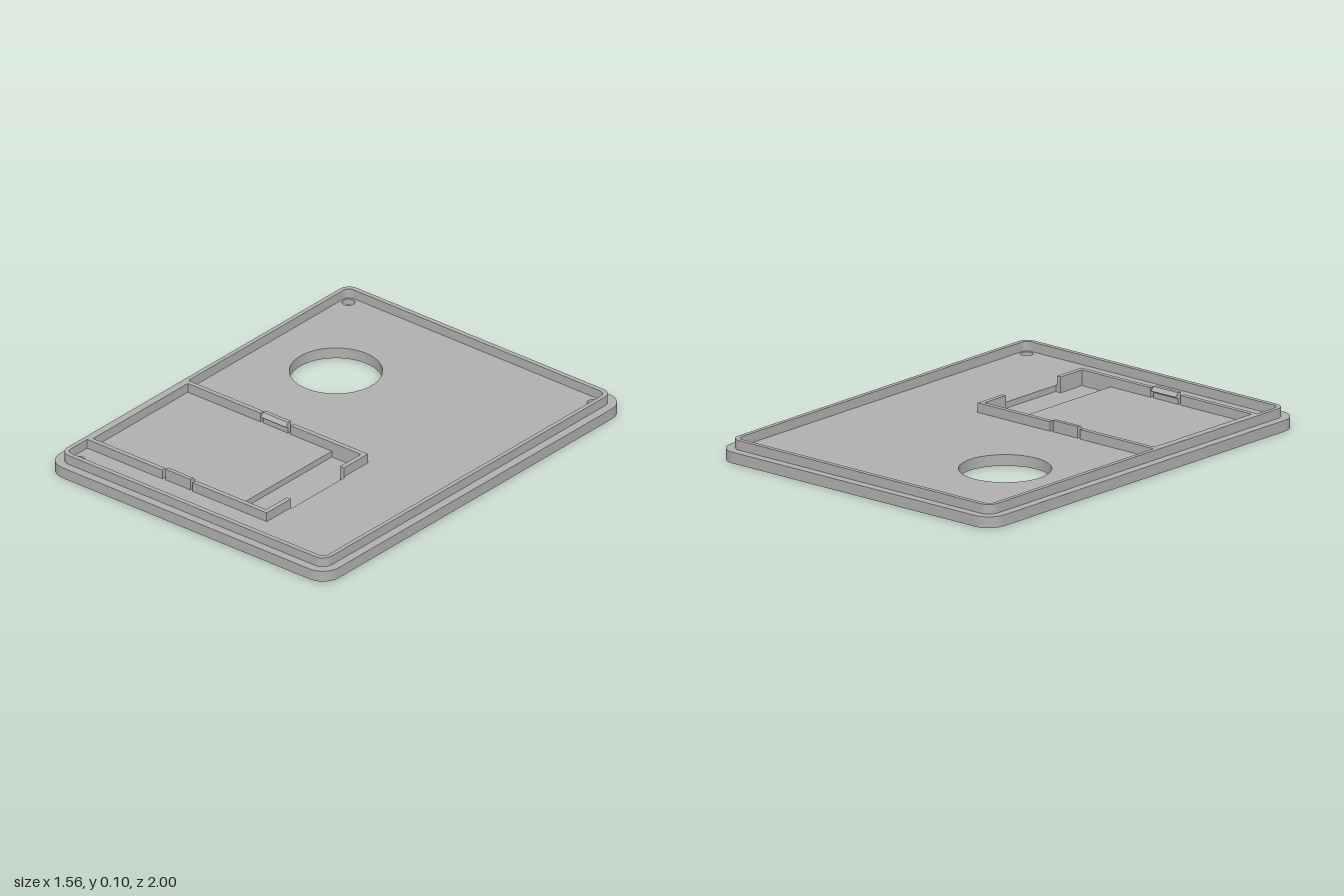
import * as THREE from 'three';
import { toCreasedNormals } from 'three/addons/utils/BufferGeometryUtils.js';

const grey = new THREE.MeshStandardMaterial({ color: 0xb0b0b0 });
grey.name = 'light grey plastic';

// Rounded rectangle centred on the origin, drawn in x and z
function roundedRect(hx, hz, r) {
  const s = new THREE.Shape();
  s.absarc(hx - r, hz - r, r, 0, Math.PI / 2);
  s.absarc(-hx + r, hz - r, r, Math.PI / 2, Math.PI);
  s.absarc(-hx + r, -hz + r, r, Math.PI, Math.PI * 1.5);
  s.absarc(hx - r, -hz + r, r, Math.PI * 1.5, Math.PI * 2);
  s.closePath();
  return s;
}

function circle(x, z, r) {
  return new THREE.Path().absarc(x, z, r, 0, Math.PI * 2);
}

function polygon(points) {
  return new THREE.Shape(points.map(([x, z]) => new THREE.Vector2(x, z)));
}

function mesh(name, geometry) {
  const m = new THREE.Mesh(toCreasedNormals(geometry, 0.5), grey);
  m.name = name;
  return m;
}

// Upright slab between two heights from an outline in x and z
function slab(name, shape, y0, y1) {
  const g = new THREE.ExtrudeGeometry(shape, { depth: y1 - y0, bevelEnabled: false, curveSegments: 32 });
  g.rotateX(Math.PI / 2).translate(0, y1, 0);
  return mesh(name, g);
}

export function createModel() {
  const group = new THREE.Group();
  group.name = 'enclosureLid';

  const FLOOR = 0.05, TOP = 0.093, POCKET = 0.022;
  const MID_Z = 0.4625;                        // centre line of the module bay
  const mirrorZ = ([x, z]) => [x, 2 * MID_Z - z];

  // Base plate in two layers: wide screw recesses below, small holes and pocket above
  const lower = roundedRect(0.78, 1, 0.09);
  const upper = roundedRect(0.78, 1, 0.09);
  for (const plate of [lower, upper]) plate.holes.push(circle(-0.34, -0.405, 0.2));
  for (const x of [-0.685, 0.685]) {
    for (const z of [-0.9, 0.9]) {
      lower.holes.push(circle(x, z, 0.049));
      upper.holes.push(circle(x, z, 0.028));
    }
  }
  const pocketHalf = [[0.1, 0.147], [0.262, 0.147], [0.262, 0.285], [0.29, 0.285]];
  upper.holes.push(polygon([...pocketHalf, ...pocketHalf.map(mirrorZ).reverse()]));
  group.add(slab('basePlateLower', lower, 0, POCKET));
  group.add(slab('basePlateUpper', upper, POCKET, FLOOR));

  // Raised lip around the edge
  const lip = roundedRect(0.74, 0.96, 0.05);
  lip.holes.push(roundedRect(0.72, 0.938, 0.03));
  group.add(slab('lip', lip, FLOOR, TOP));

  // Module bay walls: a bracket against the lip and two corner walls
  const bracketHalf = [[-0.705, 0.147], [-0.3, 0.147], [-0.3, 0.125], [-0.722, 0.125]];
  const bracket = [...bracketHalf, ...bracketHalf.map(mirrorZ).reverse()];
  group.add(slab('bayBracket', polygon(bracket), FLOOR, TOP));

  const corner = [[-0.13, 0.125], [0.284, 0.125], [0.284, 0.285],
    [0.262, 0.285], [0.262, 0.147], [-0.13, 0.147]];
  group.add(slab('bayCornerBack', polygon(corner), FLOOR, TOP));
  group.add(slab('bayCornerFront', polygon(corner.map(mirrorZ)), FLOOR, TOP));

  // Snap clips with hooked tops pointing into the bay
  const profile = polygon([[0, FLOOR], [0.018, FLOOR], [0.018, 0.075],
    [0.034, 0.085], [0.018, 0.102], [0, 0.102]]);
  const clip = () => new THREE.ExtrudeGeometry(profile, { depth: 0.14, bevelEnabled: false });
  group.add(mesh('snapClipBack', clip().rotateY(-Math.PI / 2).translate(-0.145, 0, 0.128)));
  group.add(mesh('snapClipFront', clip().rotateY(Math.PI / 2).translate(-0.285, 0, 0.797)));

  return group;
}
